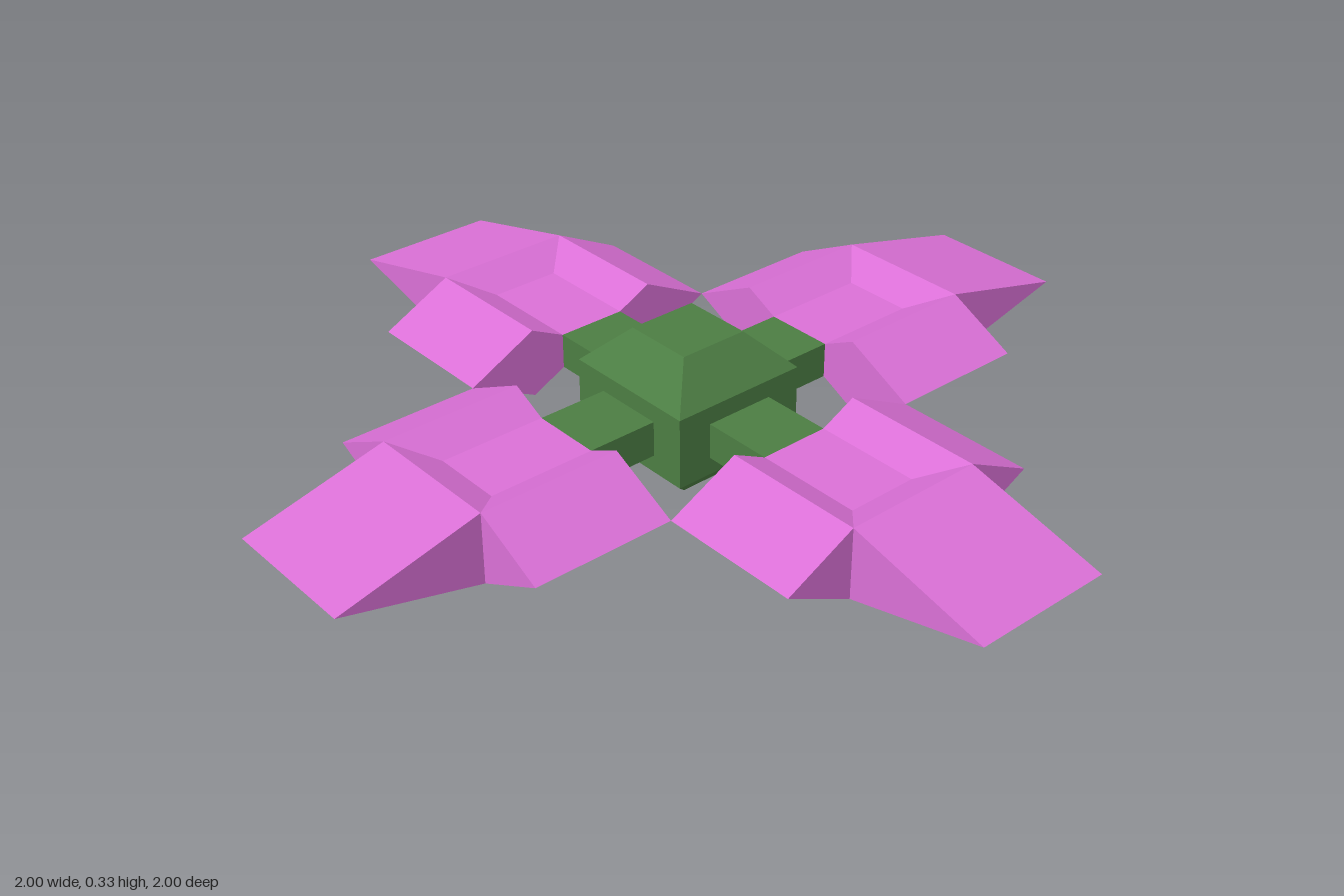
import * as THREE from 'three';

const UNIT = 1 / 12; // everything is laid out on a grid of twelfths

const green = new THREE.MeshStandardMaterial({ color: 0x4c7d43, flatShading: true });
const pink = new THREE.MeshStandardMaterial({ color: 0xda70d6, flatShading: true });

function part(name, geometry, material) {
  const mesh = new THREE.Mesh(geometry, material);
  mesh.name = name;
  return mesh;
}

// Four-cornered faces, counter-clockwise from outside
function quadGeometry(quads) {
  const pos = quads.flatMap(([a, b, c, d]) => [a, b, c, a, c, d].flat());
  const geo = new THREE.BufferGeometry();
  geo.setAttribute('position', new THREE.Float32BufferAttribute(pos, 3));
  geo.computeVertexNormals();
  return geo;
}

// Triangular wedge, base on x = 0, sharp edge at x = length, 4 wide in z
function wedge(length) {
  const tri = new THREE.Shape([[0, -1], [length, 0], [0, 1]].map(p => new THREE.Vector2(...p)));
  return new THREE.ExtrudeGeometry(tri, { depth: 4, bevelEnabled: false }).translate(0, 0, -2);
}

// Petal body: a slab hollowed above and below, the hollows open to the inner end
function petalBody() {
  const top = [
    [[4, 0.5, 1], [7, 0.5, 1], [7, 0.5, -1], [4, 0.5, -1]],
    [[4, 1, 2], [8, 1, 2], [7, 0.5, 1], [4, 0.5, 1]],
    [[8, 1, 2], [8, 1, -2], [7, 0.5, -1], [7, 0.5, 1]],
    [[4, 0.5, -1], [7, 0.5, -1], [8, 1, -2], [4, 1, -2]],
  ];
  const bottom = top.map(q => q.map(([x, y, z]) => [x, -y, z]).reverse());
  const innerEnd = [
    [[4, -0.5, -1], [4, -0.5, 1], [4, 0.5, 1], [4, 0.5, -1]],
    [[4, -0.5, 1], [4, -1, 2], [4, 1, 2], [4, 0.5, 1]],
    [[4, -1, -2], [4, -0.5, -1], [4, 0.5, -1], [4, 1, -2]],
  ];
  return quadGeometry([...top, ...bottom, ...innerEnd]);
}

function createPetal() {
  const petal = new THREE.Group();
  petal.name = 'petal';
  petal.add(part('petalBody', petalBody(), pink));
  petal.add(part('petalTip', wedge(4).translate(8, 0, 0), pink));
  for (const s of [1, -1]) {
    const side = wedge(2).rotateY(-s * Math.PI / 2).translate(6, 0, 2 * s);
    petal.add(part('petalSide', side, pink));
  }
  return petal;
}

export function createModel() {
  const model = new THREE.Group();
  model.name = 'flower';
  const flower = new THREE.Group();
  flower.name = 'flowerHead';

  // Square core, tapered above and below
  const r = Math.SQRT2;
  const profile = [[0, -2], [r, -2], [2 * r, -1], [2 * r, 1], [r, 2], [0, 2]];
  const core = new THREE.LatheGeometry(profile.map(p => new THREE.Vector2(...p)), 4, Math.PI / 4);
  flower.add(part('core', core, green));

  // Four arms, each a stem and a petal
  for (let i = 0; i < 4; i++) {
    const arm = new THREE.Group();
    arm.name = 'arm';
    arm.add(part('stem', new THREE.BoxGeometry(2, 1, 2).translate(3, 0, 0), green));
    arm.add(createPetal());
    arm.rotation.y = i * Math.PI / 2;
    flower.add(arm);
  }

  flower.scale.setScalar(UNIT);
  flower.position.y = 2 * UNIT;
  model.add(flower);
  return model;
}
